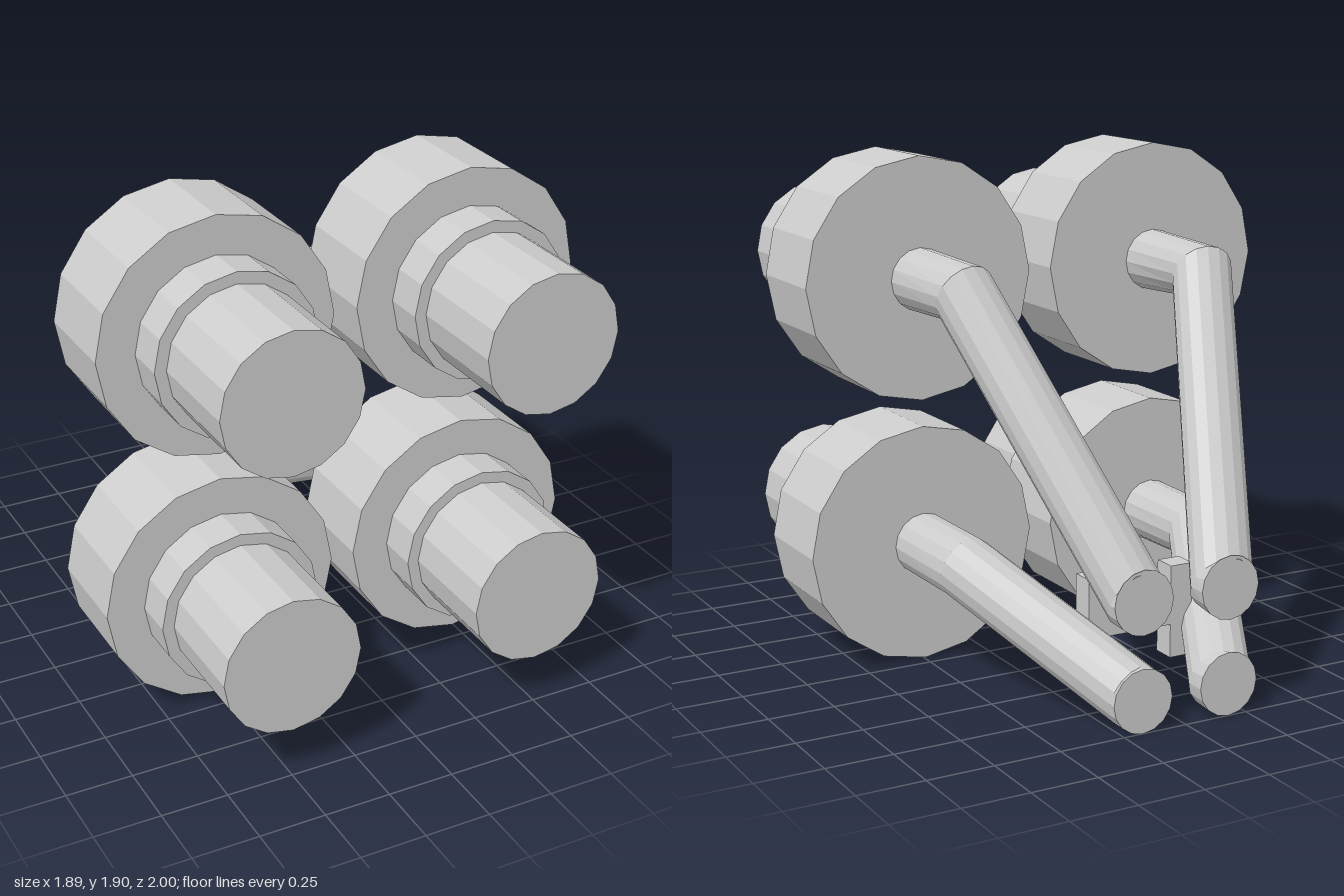
import * as THREE from 'three';

const SIDES = 16;
const mat = new THREE.MeshStandardMaterial({ color: 0xcccccc, flatShading: true });

function addMesh(parent, name, geometry, x = 0, y = 0, z = 0) {
  const mesh = new THREE.Mesh(geometry, mat);
  mesh.name = name;
  mesh.position.set(x, y, z);
  parent.add(mesh);
  return mesh;
}

// Cylinder lying along z, from z0 to z1
function drum(parent, name, r, z0, z1) {
  const g = new THREE.CylinderGeometry(r, r, z1 - z0, SIDES).rotateX(Math.PI / 2);
  addMesh(parent, name, g, 0, 0, (z0 + z1) / 2);
}

// Bent pipe: one ring per path point, tilted to the mean direction at each bend
function pipeGeometry(points, r) {
  const pos = [], idx = [], last = points.length - 1;
  const dir = (i) => points[i + 1].clone().sub(points[i]).normalize();
  points.forEach((p, i) => {
    const n = i === 0 ? dir(0) : dir(i - 1);
    if (i > 0 && i < last) n.add(dir(i)).normalize();
    if (i === last) n.set(0, 0, -1);
    const u = new THREE.Vector3(0, 1, 0).cross(n).normalize();
    const v = n.clone().cross(u);
    for (let j = 0; j < SIDES; j++) {
      const a = (j / SIDES) * Math.PI * 2;
      const q = p.clone().addScaledVector(u, r * Math.cos(a)).addScaledVector(v, r * Math.sin(a));
      pos.push(q.x, q.y, q.z);
    }
  });
  const start = pos.length / 3;
  for (const p of [points[0], points[last]]) pos.push(p.x, p.y, p.z);
  for (let j = 0; j < SIDES; j++) {
    const k = (j + 1) % SIDES;
    for (let i = 0; i < last; i++) {
      const a = i * SIDES, b = a + SIDES;
      idx.push(a + j, a + k, b + k, a + j, b + k, b + j);
    }
    idx.push(start, k, j, start + 1, last * SIDES + j, last * SIDES + k);
  }
  const g = new THREE.BufferGeometry();
  g.setAttribute('position', new THREE.Float32BufferAttribute(pos, 3));
  g.setIndex(idx);
  g.computeVertexNormals();
  return g;
}

export function createModel() {
  const model = new THREE.Group();
  model.name = 'fourBarrelAssembly';

  const rows = [
    { name: 'upper', y: 1.455, endY: 0.473 },
    { name: 'lower', y: 0.455, endY: 0.12 },
  ];
  for (const side of [-1, 1]) {
    const label = side > 0 ? 'Left' : 'Right';
    for (const row of rows) {
      // Stepped barrel
      const barrel = new THREE.Group();
      barrel.name = row.name + label + 'Barrel';
      barrel.position.set(side * 0.495, row.y, 0);
      drum(barrel, 'housing', 0.45, 0.05, 0.43);
      drum(barrel, 'collar', 0.306, 0.43, 0.59);
      drum(barrel, 'nozzle', 0.262, 0.59, 1);
      model.add(barrel);

      // Pipe running back and inward
      const path = [
        [0.495, row.y, 0.06],
        [0.495, row.y, -0.3],
        [0.175, row.endY, -0.945],
        [0.175, row.endY, -1],
      ].map(([x, y, z]) => new THREE.Vector3(side * x, y, z));
      addMesh(model, row.name + label + 'Pipe', pipeGeometry(path, 0.117));
    }
    // Upright of the brace between the lower pipes
    addMesh(model, 'brace' + label + 'Post', new THREE.BoxGeometry(0.09, 0.345, 0.09), side * 0.17, 0.303, -0.65);
  }
  // Crossbar of the brace
  addMesh(model, 'braceCrossbar', new THREE.BoxGeometry(0.25, 0.095, 0.09), 0, 0.303, -0.65);
  return model;
}
